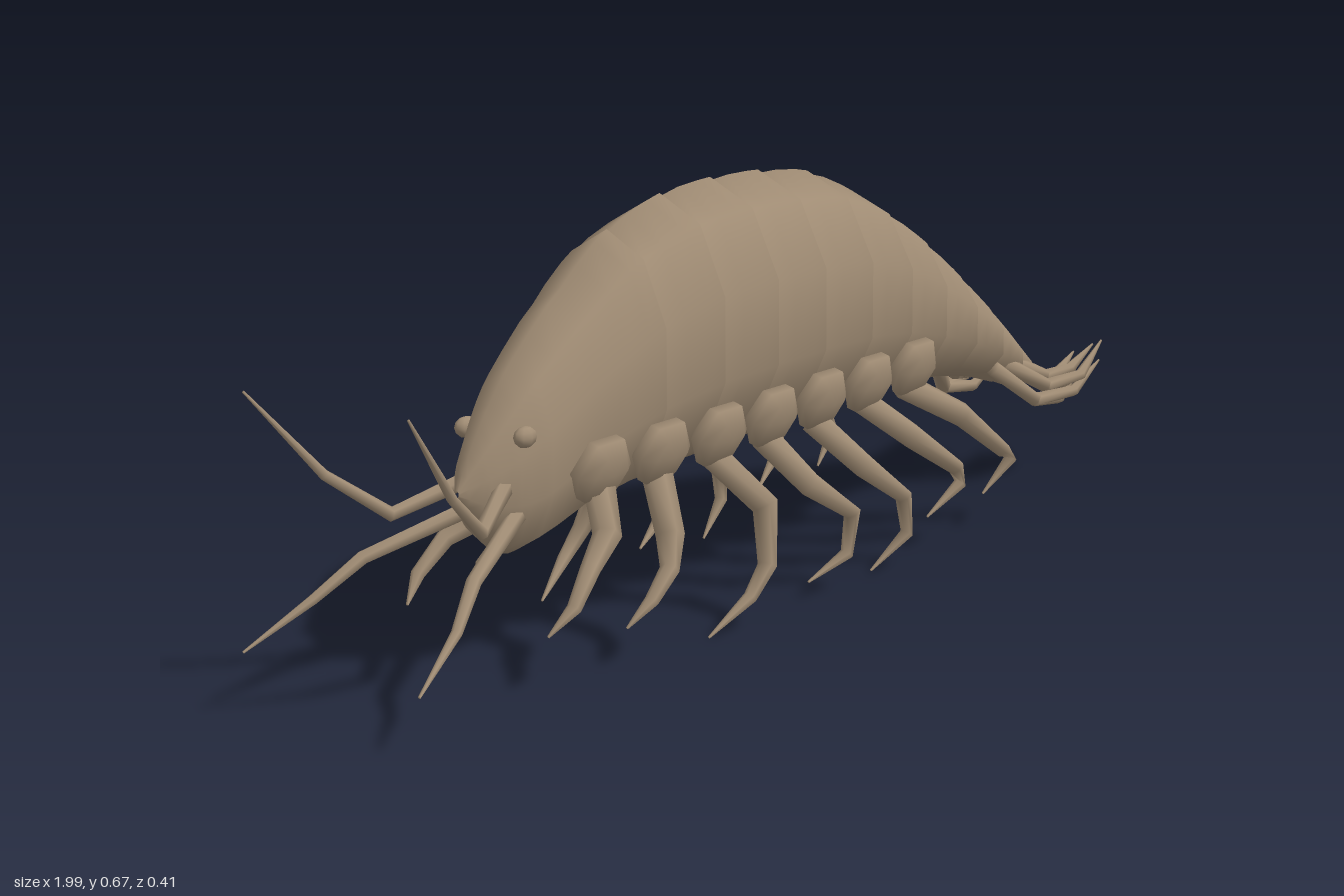
import * as THREE from 'three';

const V = (x, y, z) => new THREE.Vector3(x, y, z);

// Closed skin over a list of rings with equal point counts
function loft(rings) {
  const n = rings[0].length, pos = [], idx = [];
  rings.forEach(r => r.forEach(p => pos.push(p.x, p.y, p.z)));
  for (let i = 0; i < rings.length - 1; i++) {
    for (let k = 0; k < n; k++) {
      const a = i * n + k, b = i * n + (k + 1) % n;
      idx.push(a, b, a + n, b, b + n, a + n);
    }
  }
  const g = new THREE.BufferGeometry();
  g.setAttribute('position', new THREE.Float32BufferAttribute(pos, 3));
  g.setIndex(idx);
  g.computeVertexNormals();
  return g;
}

// Tapering jointed limb through points, with a radius at each joint
function limb(pts, radii, sides = 6) {
  const rings = pts.map((p, i) => {
    const t = pts[Math.min(i + 1, pts.length - 1)].clone().sub(pts[Math.max(i - 1, 0)]).normalize();
    const u = t.clone().cross(V(0, 0, 1)).normalize();
    const v = t.clone().cross(u);
    return Array.from({ length: sides }, (_, k) => {
      const a = k / sides * Math.PI * 2;
      return p.clone().addScaledVector(u, Math.cos(a) * radii[i]).addScaledVector(v, Math.sin(a) * radii[i]);
    });
  });
  const cap = (p, n) => Array.from({ length: n }, () => p.clone());
  return loft([cap(pts[0], sides), ...rings, cap(pts[pts.length - 1], sides)]);
}

// Body stations: x, top y, bottom y, half width
const BODY = [
  [-0.735, 0.285, 0.275, 0.004], [-0.70, 0.345, 0.215, 0.036], [-0.66, 0.40, 0.18, 0.06], [-0.61, 0.455, 0.17, 0.078],
  [-0.50, 0.545, 0.20, 0.098], [-0.39, 0.615, 0.215, 0.115], [-0.26, 0.655, 0.225, 0.129],
  [-0.13, 0.666, 0.232, 0.138], [0.00, 0.664, 0.237, 0.140], [0.14, 0.648, 0.242, 0.138],
  [0.275, 0.60, 0.246, 0.130], [0.41, 0.526, 0.242, 0.116], [0.54, 0.442, 0.232, 0.101],
  [0.66, 0.36, 0.212, 0.085], [0.76, 0.288, 0.185, 0.069], [0.83, 0.238, 0.167, 0.05], [0.88, 0.195, 0.187, 0.003],
];

function bodyGeometry() {
  const heights = new THREE.CatmullRomCurve3(BODY.map(s => V(s[0], s[1], s[2])), false, 'catmullrom', 0.5);
  const widths = new THREE.CatmullRomCurve3(BODY.map(s => V(s[0], s[3], 0)), false, 'catmullrom', 0.5);
  const segs = BODY.length - 1, rings = [];
  for (let s = 0; s < segs; s++) {
    const plated = s >= 4 && s < segs - 1;
    // each plate flares toward its rear edge and overlaps the next
    for (const f of [0, 0.35, 0.75, 1]) {
      if (f === 1 && !plated && s < segs - 1) continue;
      const t = (s + (plated && f === 0 ? 0.04 : f)) / segs;
      const h = heights.getPoint(t), w = widths.getPoint(t);
      const k = plated ? 0.985 + 0.025 * Math.sqrt(f) : 1;
      const cy = (h.y + h.z) / 2, ry = Math.abs(h.y - h.z) / 2 * k, rz = Math.abs(w.y) * k;
      rings.push(Array.from({ length: 10 }, (_, i) => {
        const a = i / 10 * Math.PI * 2;
        return V(h.x, cy + ry * Math.cos(a), rz * Math.sin(a));
      }));
    }
  }
  return loft(rings);
}

// Walking legs: joints from hip to claw
const LEGS = [
  [[-0.52, 0.26, 0.085], [-0.54, 0.195, 0.115], [-0.61, 0.165, 0.14], [-0.66, 0.12, 0.15], [-0.70, 0.085, 0.135]],
  [[-0.39, 0.26, 0.09], [-0.415, 0.17, 0.135], [-0.45, 0.13, 0.16], [-0.50, 0.095, 0.165], [-0.54, 0.06, 0.15]],
  [[-0.26, 0.26, 0.095], [-0.205, 0.175, 0.16], [-0.235, 0.09, 0.185], [-0.28, 0.05, 0.185], [-0.36, 0.002, 0.165]],
  [[-0.12, 0.26, 0.095], [-0.085, 0.185, 0.16], [-0.005, 0.125, 0.19], [-0.02, 0.06, 0.19], [-0.10, 0.028, 0.17]],
  [[0.02, 0.26, 0.095], [0.07, 0.185, 0.16], [0.15, 0.12, 0.19], [0.158, 0.055, 0.192], [0.08, 0.005, 0.172]],
  [[0.16, 0.27, 0.095], [0.22, 0.205, 0.16], [0.32, 0.135, 0.188], [0.328, 0.105, 0.192], [0.25, 0.06, 0.175]],
  [[0.30, 0.27, 0.09], [0.39, 0.21, 0.155], [0.48, 0.135, 0.186], [0.505, 0.115, 0.19], [0.435, 0.062, 0.175]],
];

const ANTENNAE = [
  [[-0.67, 0.285, 0.035], [-0.78, 0.248, 0.085], [-0.875, 0.32, 0.12], [-0.99, 0.455, 0.152]],
  [[-0.65, 0.24, 0.04], [-0.82, 0.19, 0.105], [-0.89, 0.14, 0.135], [-0.998, 0.085, 0.165]],
];

// Tail limbs: base joint, knee, then two branch tips
const TAIL_LIMBS = [
  { base: [0.66, 0.235, 0.06], knee: [0.75, 0.165, 0.10], mids: [[0.86, 0.165, 0.12], [0.85, 0.15, 0.095]], tips: [[0.95, 0.21, 0.125], [0.93, 0.185, 0.09]] },
  { base: [0.71, 0.235, 0.055], knee: [0.79, 0.185, 0.10], mids: [[0.89, 0.19, 0.118], [0.88, 0.175, 0.09]], tips: [[0.99, 0.24, 0.108], [0.96, 0.22, 0.085]] },
  { base: [0.76, 0.225, 0.05], knee: [0.82, 0.195, 0.08], mids: [[0.89, 0.20, 0.095], [0.89, 0.19, 0.07]], tips: [[0.97, 0.235, 0.10], [0.95, 0.22, 0.07]] },
];

export function createModel() {
  const group = new THREE.Group();
  const shell = new THREE.MeshStandardMaterial({ color: 0xa08c74 });
  shell.name = 'tan shell';
  const add = (geo, name) => {
    const m = new THREE.Mesh(geo, shell);
    m.name = name;
    group.add(m);
    return m;
  };

  add(bodyGeometry(), 'segmentedBody');

  for (const side of [1, -1]) {
    const label = side > 0 ? 'Front' : 'Back';
    const P = a => V(a[0], a[1], a[2] * side);

    LEGS.forEach((leg, i) => {
      add(limb(leg.map(P), [0.024, 0.022, 0.015, 0.011, 0.002]), `leg${label}${i + 1}`);

      // hexagonal side plate over each hip
      const plate = new THREE.SphereGeometry(1, 6, 5);
      plate.rotateX(Math.PI / 2);
      plate.scale(0.064, 0.056, 0.028);
      const m = add(plate, `hipPlate${label}${i + 1}`);
      m.position.set(leg[0][0], 0.287 + i * 0.003, side * (i === 0 ? 0.088 : i === 1 ? 0.1 : 0.112));
      m.rotation.x = side * 0.3;
    });

    ANTENNAE.forEach((a, i) =>
      add(limb(a.map(P), [0.014, 0.011, 0.008, 0.002]), `antenna${label}${i + 1}`));

    TAIL_LIMBS.forEach((t, i) => {
      add(limb([t.base, t.knee].map(P), [0.016, 0.014]), `tailLimb${label}${i + 1}`);
      t.tips.forEach((tip, j) =>
        add(limb([t.knee, t.mids[j], tip].map(P), [0.013, 0.011, 0.002]), `tailBranch${label}${i + 1}${j + 1}`));
    });

    // eye
    const eye = add(new THREE.SphereGeometry(1, 8, 6), `eye${label}`);
    eye.scale.set(0.021, 0.016, 0.014);
    eye.position.set(-0.65, 0.355, side * 0.056);
  }
  return group;
}
